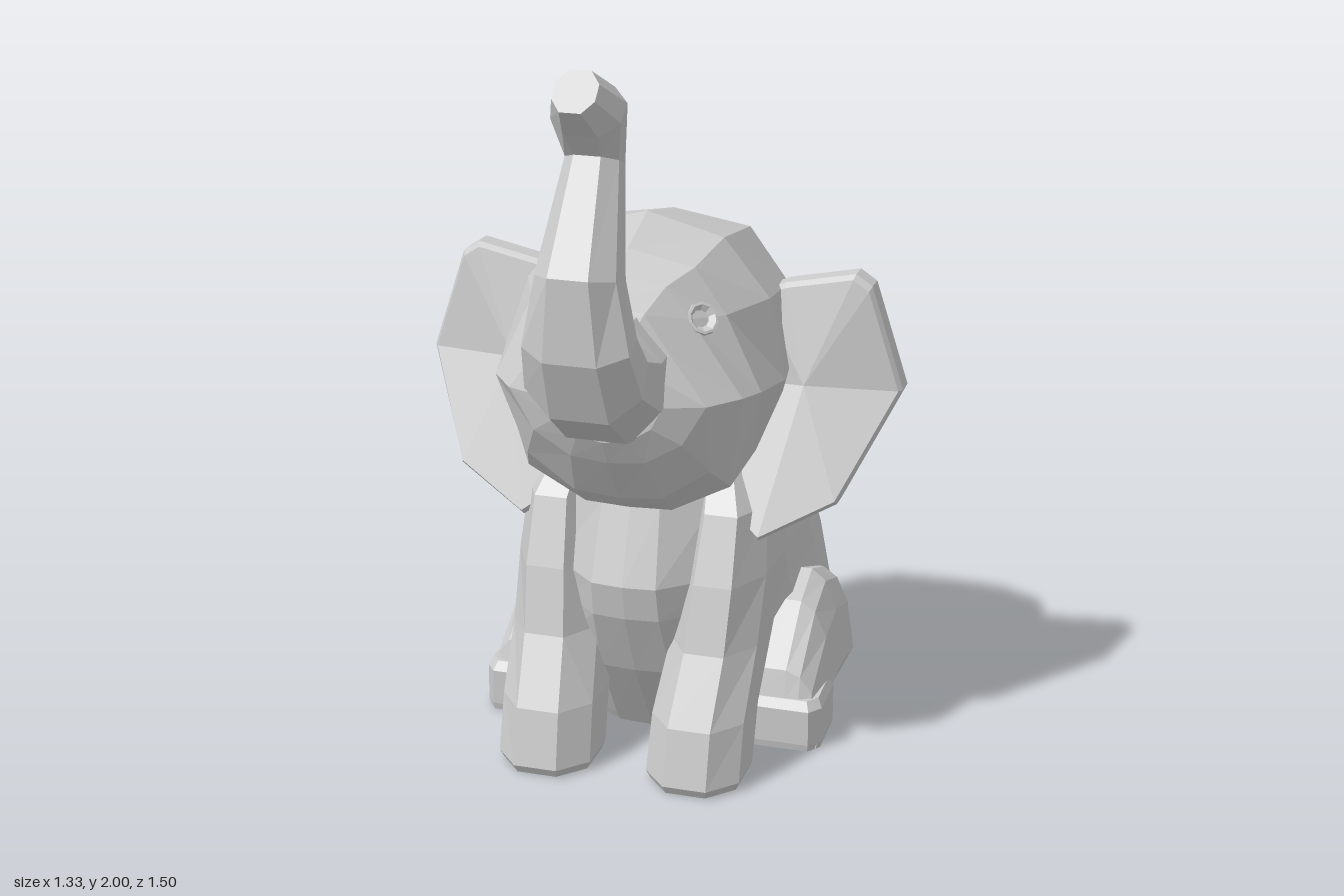
import * as THREE from 'three';

const material = new THREE.MeshStandardMaterial({ color: 0xcccccc, flatShading: true, side: THREE.DoubleSide });

// Closed faceted skin through rings of equal point count, capped by fans
function loft(name, rings) {
  const tris = [];
  const n = rings[0].length;
  for (let r = 0; r < rings.length - 1; r++) {
    for (let i = 0; i < n; i++) {
      const j = (i + 1) % n;
      const a = rings[r][i], b = rings[r][j], c = rings[r + 1][j], d = rings[r + 1][i];
      tris.push([a, b, c], [a, c, d]);
    }
  }
  const centre = (ring) => [0, 1, 2].map((k) => ring.reduce((s, p) => s + p[k], 0) / n);
  const first = rings[0], last = rings[rings.length - 1];
  const c0 = centre(first), c1 = centre(last);
  for (let i = 0; i < n; i++) {
    const j = (i + 1) % n;
    tris.push([c0, first[j], first[i]], [c1, last[i], last[j]]);
  }
  // Turn the corners outward whichever way the rings run
  const volume = tris.reduce((s, [a, b, c]) => s
    + a[0] * (b[1] * c[2] - b[2] * c[1])
    + a[1] * (b[2] * c[0] - b[0] * c[2])
    + a[2] * (b[0] * c[1] - b[1] * c[0]), 0);
  if (volume < 0) tris.forEach((t) => t.reverse());
  const geometry = new THREE.BufferGeometry();
  geometry.setAttribute('position', new THREE.Float32BufferAttribute(tris.flat(2), 3));
  geometry.computeVertexNormals();
  const mesh = new THREE.Mesh(geometry, material);
  mesh.name = name;
  return mesh;
}

// Complete a half ring that starts and ends on the centre plane
const mirrorRing = (half) => [...half, ...half.slice(1, -1).reverse().map(([x, y, z]) => [-x, y, z])];

// Body: horizontal slices [y, front z, back z, half width]
function body() {
  const outline = [[0, 0], [0.25, 0.01], [0.65, 0.15], [0.93, 0.42], [0.97, 0.66], [0.9, 0.83], [0.48, 0.95], [0, 1]];
  const slices = [
    [0, 0.06, -0.71, 0.39], [0.03, 0.08, -0.73, 0.405], [0.24, 0.22, -0.715, 0.4], [0.43, 0.31, -0.7, 0.37],
    [0.53, 0.33, -0.635, 0.36], [0.74, 0.26, -0.475, 0.325], [0.92, 0.2, -0.32, 0.25], [1.05, 0.12, -0.24, 0.18],
  ];
  return loft('body', slices.map(([y, front, back, w]) =>
    mirrorRing(outline.map(([u, t]) => [u * w, y, front + (back - front) * t]))));
}

// Head: upright slices [z, chin y, then x, y of chin corner, jaw, cheek, brow and crown, top y]
function head() {
  const slices = [
    [-0.355, 1.0, 0.07, 1.0, 0.14, 1.03, 0.17, 1.08, 0.15, 1.13, 0.08, 1.16, 1.17],
    [-0.315, 0.92, 0.12, 0.92, 0.21, 0.95, 0.25, 1.08, 0.235, 1.2, 0.16, 1.265, 1.28],
    [-0.14, 0.85, 0.17, 0.86, 0.3, 0.9, 0.345, 1.08, 0.325, 1.27, 0.215, 1.42, 1.455],
    [0.1, 0.79, 0.15, 0.8, 0.3, 0.87, 0.38, 1.08, 0.335, 1.3, 0.21, 1.455, 1.51],
    [0.27, 0.74, 0.12, 0.745, 0.28, 0.83, 0.36, 1.1, 0.265, 1.3, 0.18, 1.42, 1.455],
    [0.36, 0.8, 0.12, 0.81, 0.25, 0.9, 0.335, 1.11, 0.195, 1.31, 0.13, 1.39, 1.41],
    [0.45, 0.93, 0.1, 0.94, 0.2, 1.0, 0.265, 1.11, 0.17, 1.24, 0.1, 1.34, 1.365],
    [0.49, 1.0, 0.07, 1.01, 0.13, 1.05, 0.16, 1.11, 0.12, 1.2, 0.06, 1.26, 1.28],
  ];
  return loft('head', slices.map(([z, chin, ...p]) => {
    const half = [[0, chin, z]];
    for (let i = 0; i < 10; i += 2) half.push([p[i], p[i + 1], z]);
    half.push([0, p[10], z]);
    return mirrorRing(half);
  }));
}

// Trunk: octagonal sections [front z, y, back z, y, half width]
function trunk() {
  const outline = [[0.5, 0], [1, 0.3], [1, 0.7], [0.5, 1]];
  const sections = [
    [0.42, 1.0, 0.4, 1.34, 0.16], [0.53, 1.02, 0.5, 1.33, 0.165], [0.67, 1.12, 0.56, 1.33, 0.155],
    [0.743, 1.29, 0.585, 1.36, 0.14], [0.748, 1.51, 0.555, 1.47, 0.105], [0.59, 1.78, 0.467, 1.73, 0.07],
    [0.64, 1.84, 0.505, 1.935, 0.09], [0.716, 1.915, 0.63, 2.0, 0.055],
  ];
  return loft('trunk', sections.map(([fz, fy, bz, by, w]) => {
    const side = outline.map(([u, t]) => [u * w, fy + (by - fy) * t, fz + (bz - fz) * t]);
    return [...side, ...side.slice().reverse().map(([x, y, z]) => [-x, y, z])];
  }));
}

// Ear: bevelled slab whose lower half swings forward
function ear(side) {
  const rim = [[0.27, 1.27], [0.34, 1.3], [0.53, 1.34], [0.575, 1.31], [0.665, 1.03],
    [0.53, 0.75], [0.33, 0.645], [0.22, 0.72], [0.24, 1.02]];
  const layer = (dz, scale) => rim.map(([x, y]) => [
    side * (0.42 + (x - 0.42) * scale), 1.02 + (y - 1.02) * scale,
    -0.08 + 0.6 * Math.max(0, 1.02 - y) + dz,
  ]);
  return loft('ear', [layer(0.045, 0.96), layer(0.03, 1), layer(-0.025, 1), layer(-0.04, 0.96)]);
}

// Front leg: octagonal slices [y, front z, back z, inner x, outer x]
function frontLeg(side) {
  const outline = [[0.27, 0], [0.73, 0], [1, 0.27], [1, 0.73], [0.73, 1], [0.27, 1], [0, 0.73], [0, 0.27]];
  const slices = [
    [0, 0.44, 0.17, 0.09, 0.33], [0.025, 0.455, 0.16, 0.08, 0.34], [0.18, 0.42, 0.1, 0.085, 0.34],
    [0.36, 0.325, -0.05, 0.105, 0.345], [0.54, 0.28, -0.18, 0.12, 0.35], [0.72, 0.215, -0.2, 0.14, 0.338],
    [0.84, 0.12, -0.17, 0.14, 0.28],
  ];
  return loft('frontLeg', slices.map(([y, front, back, inner, outer]) => outline.map(([u, t]) =>
    [side * (inner + (outer - inner) * u), y, front + (back - front) * t])));
}

// Hind thigh: side outline swept outward, sloping in at the top and turning in at the back
function hindThigh(side) {
  const outline = [[0.08, 0], [0.08, 0.14], [0.06, 0.22], [-0.1, 0.36], [-0.22, 0.41],
    [-0.36, 0.36], [-0.57, 0.25], [-0.6, 0]];
  const layer = (x, rise, reach) => outline.map(([z, y]) => [
    side * (x - 0.5 * Math.max(0, -0.4 - z)), y * rise, -0.25 + (z + 0.25) * reach]);
  return loft('hindThigh', [layer(0.28, 1, 1), layer(0.385, 1, 1), layer(0.425, 0.92, 1), layer(0.458, 0.72, 0.99),
    layer(0.478, 0.33, 0.98)]);
}

// Hind foot: low chamfered block, flush with the thigh
function hindFoot(side) {
  const plan = [[0.3, 0.1], [0.46, 0.1], [0.488, 0.06], [0.482, -0.1], [0.44, -0.16], [0.3, -0.16]];
  const layer = (y, scale) => plan.map(([x, z]) => [side * (0.38 + (x - 0.38) * scale), y, -0.05 + (z + 0.05) * scale]);
  return loft('hindFoot', [layer(0, 0.97), layer(0.02, 1), layer(0.12, 1), layer(0.145, 0.88)]);
}

// Eye: small dimpled dish set on the brow
function eye(side) {
  const profile = [[0.046, -0.025], [0.043, 0.002], [0.036, 0.003], [0.02, -0.01], [0, -0.014]];
  const mesh = new THREE.Mesh(
    new THREE.LatheGeometry(profile.map(([x, y]) => new THREE.Vector2(x, y)), 10), material);
  mesh.name = 'eye';
  mesh.position.set(side * 0.222, 1.308, 0.335);
  mesh.quaternion.setFromUnitVectors(new THREE.Vector3(0, 1, 0), new THREE.Vector3(side * 0.6, 0.5, 0.6).normalize());
  return mesh;
}

// Tail: stubby wedge at the base of the back
function tail() {
  const layer = (y, w, back) => [[-w, y, -0.62], [w, y, -0.62], [w, y, back + 0.015],
    [w * 0.7, y, back], [-w * 0.7, y, back], [-w, y, back + 0.015]];
  return loft('tail', [layer(0, 0.09, -0.74), layer(0.02, 0.09, -0.75), layer(0.11, 0.06, -0.72), layer(0.14, 0.04, -0.7)]);
}

export function createModel() {
  const group = new THREE.Group();
  group.name = 'sittingElephant';
  group.add(body(), head(), trunk(), tail());
  for (const side of [1, -1]) {
    for (const part of [ear, eye, frontLeg, hindThigh, hindFoot]) {
      const mesh = part(side);
      mesh.name = (side > 0 ? 'left ' : 'right ') + mesh.name;
      group.add(mesh);
    }
  }
  return group;
}
